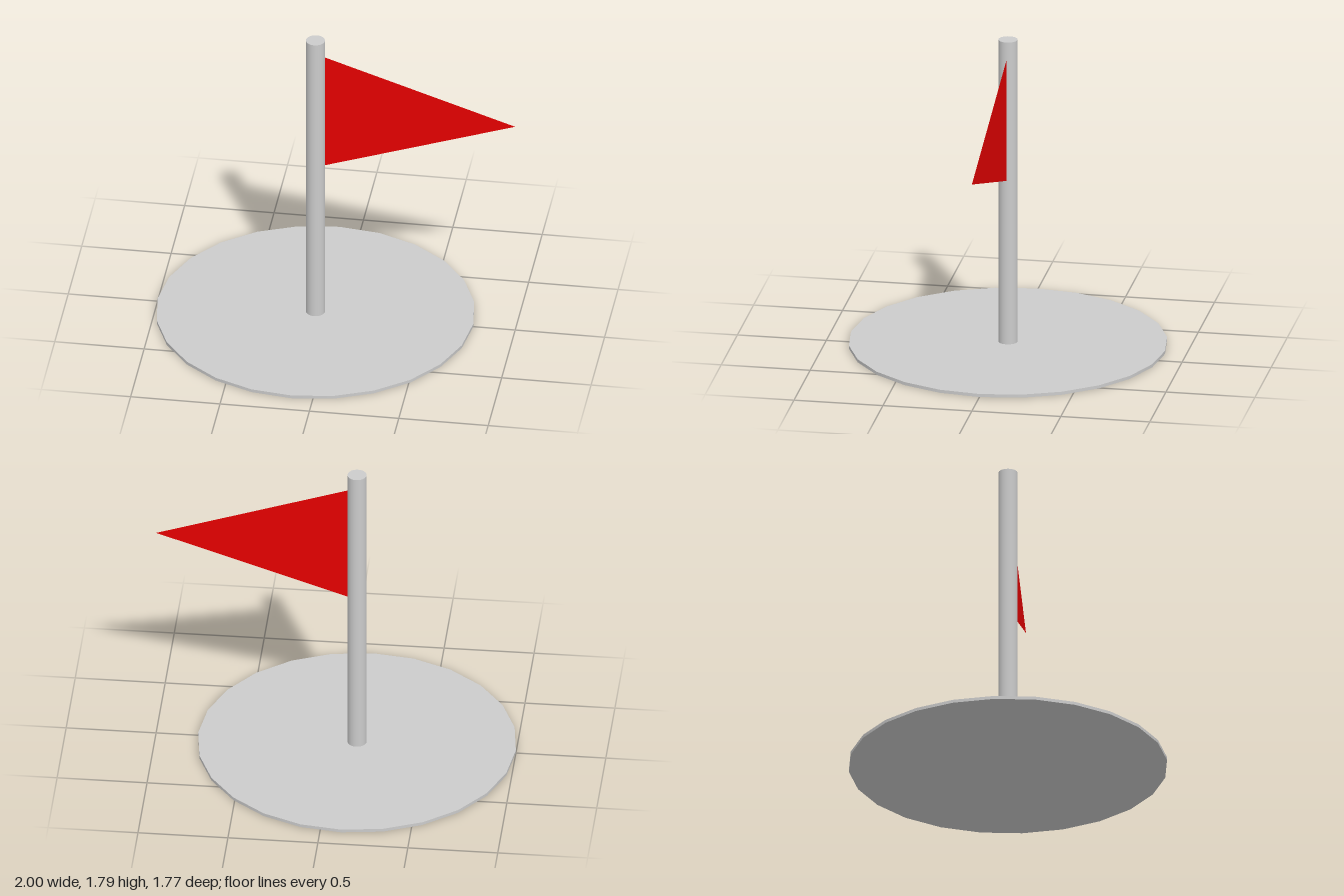
import * as THREE from 'three';

export function createModel() {
  const group = new THREE.Group();
  const grey = new THREE.MeshStandardMaterial({ color: 0xcccccc });
  const red = new THREE.MeshStandardMaterial({ color: 0xe60000, side: THREE.DoubleSide });
  const poleX = -0.117, baseRadius = 0.883, baseHeight = 0.018;
  const poleRadius = 0.053, poleTop = 1.79;

  const add = (name, geometry, material) => {
    const mesh = new THREE.Mesh(geometry, material);
    mesh.name = name;
    group.add(mesh);
    return mesh;
  };
  const disc = (name, radius, bottom, top) =>
    add(name, new THREE.CylinderGeometry(radius, radius, top - bottom, 24), grey)
      .position.set(poleX, (bottom + top) / 2, 0);

  // Thin round base and the pole standing on it
  disc('base', baseRadius, 0, baseHeight);
  disc('pole', poleRadius, baseHeight, poleTop);

  // Flat triangular pennant, attached to the side of the pole
  const edge = poleX + poleRadius;
  const outline = new THREE.Shape([
    new THREE.Vector2(edge, 0.978),
    new THREE.Vector2(1, 1.33),
    new THREE.Vector2(edge, 1.683),
  ]);
  add('flag', new THREE.ShapeGeometry(outline), red);

  return group;
}
